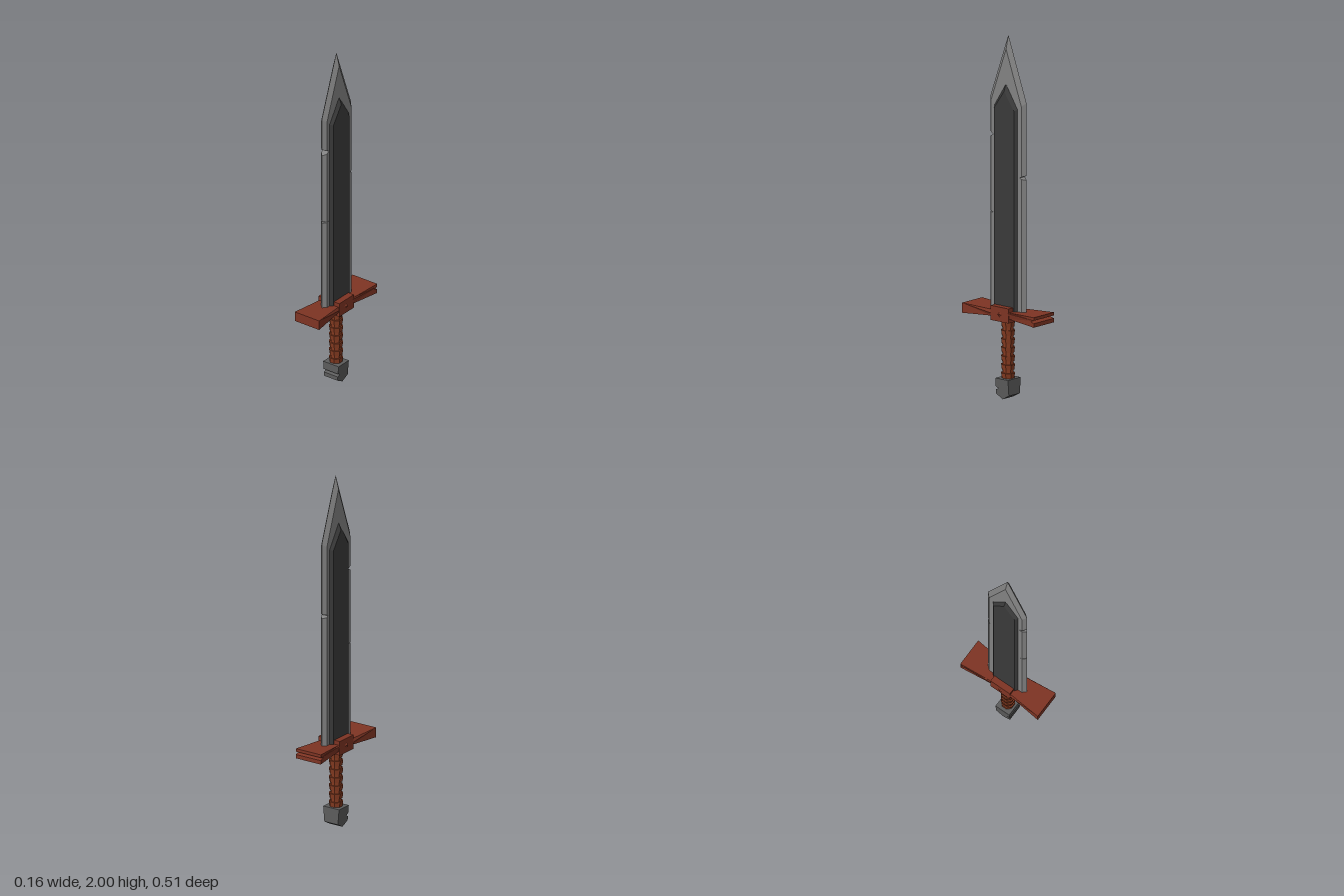
import * as THREE from 'three';

const paint = (name, color) => {
  const m = new THREE.MeshStandardMaterial({ color, flatShading: true });
  m.name = name;
  return m;
};

// Solid lofted along x through matching [z, y] outlines (counter-clockwise).
// Each ring's x may be a number or a function of (z, y).
function loft(rings) {
  const pos = [], n = rings[0].pts.length;
  const vert = (r, i) => {
    const [z, y] = r.pts[i];
    return [typeof r.x === 'function' ? r.x(z, y) : r.x, y, z];
  };
  const tri = (a, b, c) => pos.push(...a, ...b, ...c);
  const cap = (r, flip) => {
    const contour = r.pts.map(([z, y]) => new THREE.Vector2(z, y));
    for (const [a, b, c] of THREE.ShapeUtils.triangulateShape(contour, [])) {
      if (flip) tri(vert(r, a), vert(r, c), vert(r, b));
      else tri(vert(r, a), vert(r, b), vert(r, c));
    }
  };
  for (let s = 0; s < rings.length - 1; s++) {
    for (let j = 0; j < n; j++) {
      const k = (j + 1) % n;
      const a = vert(rings[s], j), b = vert(rings[s], k);
      const c = vert(rings[s + 1], k), d = vert(rings[s + 1], j);
      tri(a, c, b);
      tri(a, d, c);
    }
  }
  cap(rings[0], false);
  cap(rings[rings.length - 1], true);
  const g = new THREE.BufferGeometry();
  g.setAttribute('position', new THREE.Float32BufferAttribute(pos, 3));
  g.computeVertexNormals();
  return g;
}

// V-shaped nick on the edge at z, listed upwards
const nick = (z, y, half, apex) => [[z, y - half], [apex, y], [z, y + half]];

// Pointed blade outline with its battle nicks
const bladeOutline = (w, shoulder, tip, s) => [
  [-w, 0.49], [w, 0.49],
  ...nick(w, 1.015, 0.004 * s, 0.09),
  ...nick(w, 1.443, 0.018 * s, 0.09),
  [w, shoulder], [0, tip], [-w, shoulder],
  ...nick(-w, 1.232, 0.012 * s, -0.098).reverse(),
];

const coreOutline = (w, shoulder, tip) => [
  [-w, 0.49], [w, 0.49], [w, shoulder], [0, tip], [-w, shoulder],
];

export function createModel() {
  const model = new THREE.Group();
  model.name = 'sword';
  const steel = paint('steel', 0x828282);
  const darkSteel = paint('dark steel', 0x3a3a3a);
  const iron = paint('iron', 0x5c5c5c);
  const leather = paint('red brown', 0x7e3423);
  const wrap = paint('grip brown', 0x843a20);

  const add = (name, geo, mat, x = 0, y = 0, z = 0) => {
    const m = new THREE.Mesh(geo, mat);
    m.name = name;
    m.position.set(x, y, z);
    model.add(m);
    return m;
  };

  // Bevelled blade
  const flat = bladeOutline(0.108, 1.625, 1.925, 0.6);
  add('blade', loft([
    { x: -0.019, pts: flat },
    { x: 0, pts: bladeOutline(0.128, 1.645, 2.0, 1) },
    { x: 0.019, pts: flat },
  ]), steel, 0, 0, -0.003);

  // Raised dark core running along both faces
  const wide = coreOutline(0.083, 1.605, 1.735), narrow = coreOutline(0.07, 1.595, 1.695);
  add('bladeCore', loft([
    { x: -0.034, pts: narrow },
    { x: -0.018, pts: wide },
    { x: 0.018, pts: wide },
    { x: 0.034, pts: narrow },
  ]), darkSteel, 0, 0, -0.002);

  // Flared crossguard with a split in its rear end
  const guardPts = [
    [-0.255, 0.445], [-0.06, 0.457], [0.06, 0.457], [0.255, 0.445],
    [0.255, 0.5], [0.06, 0.492], [-0.06, 0.492], [-0.255, 0.5],
    [-0.255, 0.483], [-0.228, 0.475], [-0.255, 0.467],
  ];
  const guardHalf = (z) => 0.063 + (Math.max(Math.abs(z), 0.06) - 0.06) * 0.0975;
  add('crossguard', loft([
    { x: (z) => -guardHalf(z), pts: guardPts },
    { x: guardHalf, pts: guardPts },
  ]), leather);
  add('guardBlock', new THREE.BoxGeometry(0.14, 0.08, 0.127), leather, 0, 0.475, -0.001);

  // Pyramid studs on both sides of the block
  for (const s of [-1, 1]) {
    const stud = add(s > 0 ? 'leftStud' : 'rightStud',
      new THREE.ConeGeometry(0.021, 0.01, 4), leather, s * 0.073, 0.475, 0);
    stud.rotation.z = -s * Math.PI / 2;
  }

  // Grip with wrapped rings
  const grip = new THREE.CylinderGeometry(0.031, 0.031, 0.34, 8);
  grip.rotateY(Math.PI / 8);
  add('grip', grip, wrap, 0, 0.275, 0);
  for (let i = 0; i < 7; i++) {
    const ring = new THREE.CylinderGeometry(0.039, 0.036, 0.028, 8);
    ring.rotateY(Math.PI / 8);
    add('gripRing', ring, wrap, 0, 0.13 + i * 0.047, 0);
  }

  // Tapered pommel with a wedge bottom and a nick in its front
  const pommelPts = [
    [0, 0.003], [0.045, 0.028], ...nick(0.045, 0.06, 0.009, 0.027),
    [0.045, 0.115], [-0.045, 0.115], [-0.045, 0.028],
  ];
  const pommelHalf = (z, y) => 0.042 + y * 0.085;
  add('pommel', loft([
    { x: (z, y) => -pommelHalf(z, y), pts: pommelPts },
    { x: pommelHalf, pts: pommelPts },
  ]), iron);

  return model;
}
